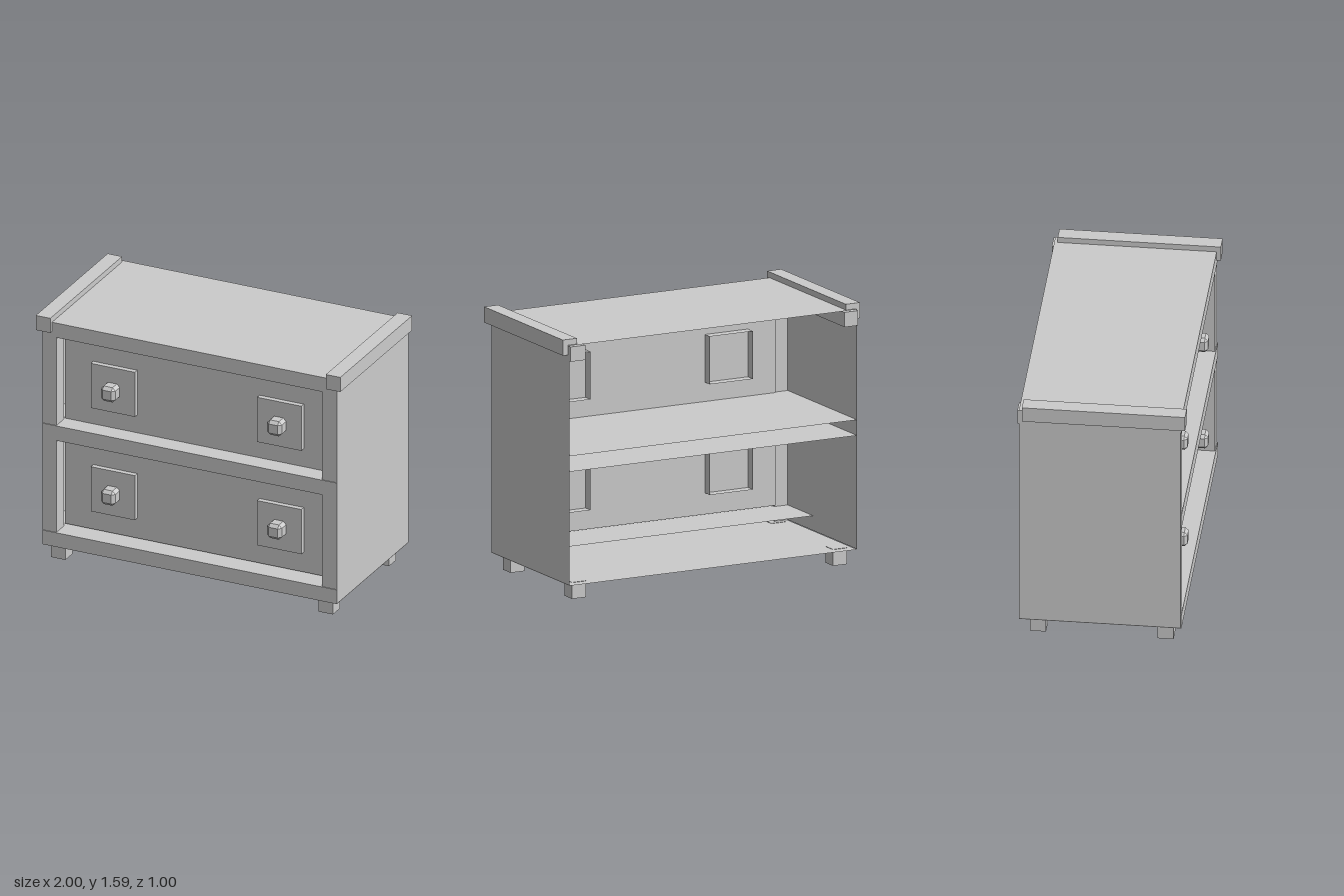
import * as THREE from 'three';
import { ConvexGeometry } from 'three/addons/geometries/ConvexGeometry.js';

const grey = new THREE.MeshStandardMaterial({ color: 0xcccccc, flatShading: true, side: THREE.DoubleSide });

// Solid block given by its extents on each axis
function block(name, [x0, x1], [y0, y1], [z0, z1]) {
  const mesh = new THREE.Mesh(new THREE.BoxGeometry(x1 - x0, y1 - y0, z1 - z0), grey);
  mesh.position.set((x0 + x1) / 2, (y0 + y1) / 2, (z0 + z1) / 2);
  mesh.name = name;
  return mesh;
}

// Thin sheet: the axis given as a single number is the one it faces along
function sheet(name, x, y, z) {
  const size = (r) => r[1] - r[0], mid = (r) => (r[0] + r[1]) / 2;
  let geo;
  if (typeof x === 'number') {
    geo = new THREE.PlaneGeometry(size(z), size(y)).rotateY(Math.PI / 2).translate(x, mid(y), mid(z));
  } else if (typeof y === 'number') {
    geo = new THREE.PlaneGeometry(size(x), size(z)).rotateX(-Math.PI / 2).translate(mid(x), y, mid(z));
  } else {
    geo = new THREE.PlaneGeometry(size(x), size(y)).translate(mid(x), mid(y), z);
  }
  const mesh = new THREE.Mesh(geo, grey);
  mesh.name = name;
  return mesh;
}

// Chamfered cube
function knobGeometry(r, inner) {
  const pts = [];
  for (const sx of [-1, 1]) for (const sy of [-1, 1]) for (const sz of [-1, 1]) {
    for (let k = 0; k < 3; k++) {
      const p = [0, 1, 2].map((i) => (i === k ? r : inner));
      pts.push(new THREE.Vector3(sx * p[0], sy * p[1], sz * p[2]));
    }
  }
  return new ConvexGeometry(pts);
}

// Square plate with an open back, plus its knob
function handle(x, y, knobGeo) {
  const g = new THREE.Group();
  g.name = 'handle';
  const h = 0.145, zs = [0.29, 0.385];
  const xs = [x - h, x + h], ys = [y - h, y + h];
  g.add(sheet('handlePlate', xs, ys, zs[1]));
  for (const e of xs) g.add(sheet('handlePlateSide', e, ys, zs));
  for (const e of ys) g.add(sheet('handlePlateEdge', xs, e, zs));
  const neck = new THREE.Mesh(new THREE.CylinderGeometry(0.03, 0.03, 0.03, 8), grey);
  neck.rotation.x = Math.PI / 2;
  neck.position.set(x, y, 0.385);
  neck.name = 'knobNeck';
  const knob = new THREE.Mesh(knobGeo, grey);
  knob.position.set(x, y, 0.42);
  knob.name = 'knob';
  g.add(neck, knob);
  return g;
}

export function createModel() {
  const model = new THREE.Group();
  model.name = 'dresser';
  const X = [-0.97, 0.965], opening = [-0.88, 0.865];
  const back = -0.49, front = 0.47, railFront = 0.475;

  // Thin case, open at the back
  for (const x of X) model.add(sheet('sidePanel', x, [0.1, 1.552], [back, front]));
  model.add(sheet('topPanel', X, 1.555, [back, front]));
  model.add(sheet('bottomPanel', X, 0.098, [back, railFront]));

  // Front frame
  model.add(block('leftStile', [opening[1], X[1]], [0.1, 1.553], [0.365, front]));
  model.add(block('rightStile', [X[0], opening[0]], [0.1, 1.553], [0.365, front]));
  model.add(block('topRail', X, [1.46, 1.554], [0.38, railFront]));
  model.add(sheet('middleRail', X, [0.79, 0.885], railFront));
  model.add(sheet('upperShelf', X, 0.885, [back, railFront]));
  model.add(sheet('lowerShelf', X, 0.79, [back, railFront]));
  model.add(sheet('bottomRail', X, [0.098, 0.19], railFront));
  model.add(sheet('bottomLedge', X, 0.19, [0.05, railFront]));

  // Beams running front to back under the top
  model.add(block('leftTopBeam', [opening[1], X[1]], [1.46, 1.55], [-0.5, 0.46]));
  model.add(block('rightTopBeam', [X[0], opening[0]], [1.46, 1.55], [-0.5, 0.46]));

  // Raised rails along both ends of the top
  model.add(block('rightEdgeRail', [-1, -0.905], [1.495, 1.59], [-0.47, 0.5]));
  model.add(block('leftEdgeRail', [0.905, 1], [1.495, 1.59], [-0.47, 0.5]));

  // Drawer fronts with two handles each
  const knobGeo = knobGeometry(0.048, 0.029);
  for (const [y, low, high] of [[1.147, 0.885, 1.46], [0.475, 0.2, 0.79]]) {
    const drawer = new THREE.Group();
    drawer.name = 'drawer';
    drawer.add(sheet('drawerFront', opening, [low, high], 0.352));
    for (const x of [-0.55, 0.543]) drawer.add(handle(x, y, knobGeo));
    model.add(drawer);
  }

  // Feet
  for (const xs of [[-0.937, -0.842], [0.82, 0.915]]) {
    for (const zs of [[-0.428, -0.333], [0.33, 0.425]]) model.add(block('foot', xs, [0, 0.1], zs));
  }
  return model;
}
